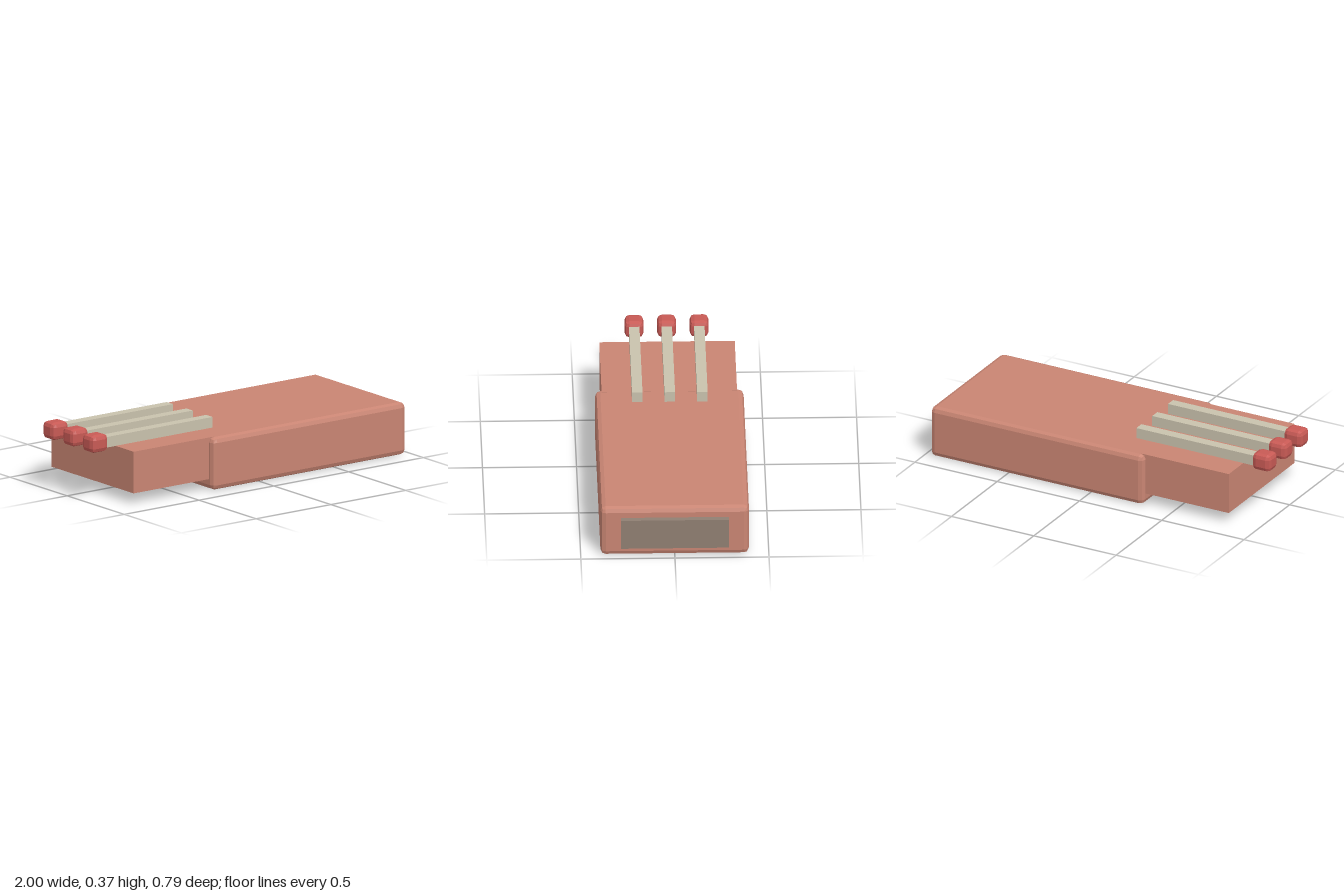
import * as THREE from 'three';
import { RoundedBoxGeometry } from 'three/addons/geometries/RoundedBoxGeometry.js';

const material = (name, color) => {
  const m = new THREE.MeshStandardMaterial({ color });
  m.name = name;
  return m;
};

// Box between x, y and z limits; a bevel gives a two-step faceted edge
function block(name, mat, [x0, x1], [y0, y1], [z0, z1], bevel = 0) {
  const size = [x1 - x0, y1 - y0, z1 - z0];
  const geometry = bevel
    ? new RoundedBoxGeometry(...size, 1, bevel)
    : new THREE.BoxGeometry(...size);
  if (bevel) geometry.computeVertexNormals(); // flat facets
  const mesh = new THREE.Mesh(geometry, mat);
  mesh.name = name;
  mesh.position.set((x0 + x1) / 2, (y0 + y1) / 2, (z0 + z1) / 2);
  return mesh;
}

export function createModel() {
  const card = material('terracotta card', 0xc98573);
  const striker = material('brown striker', 0x8f7f72);
  const wood = material('pale wood', 0xc9c2ad);
  const tip = material('red tip', 0xc85a55);

  const model = new THREE.Group();
  model.name = 'matchbox';

  // Outer sleeve, the tray sliding out of it and the striking plate
  model.add(
    block('sleeve', card, [-0.325, 0.968], [0, 0.288], [-0.395, 0.395], 0.028),
    block('tray', card, [-0.83, -0.29], [0.06, 0.2885], [-0.36, 0.36]),
    block('strikerPlate', striker, [0.95, 1], [0.06, 0.23], [-0.287, 0.287]),
  );

  // Three matches lying on top
  for (const z of [-0.173, 0, 0.173]) {
    const match = new THREE.Group();
    match.name = 'match';
    match.add(
      block('matchStick', wood, [-0.92, -0.18], [0.288, 0.346], [-0.028, 0.028]),
      block('matchHead', tip, [-1, -0.89], [0.272, 0.368], [-0.05, 0.05], 0.025),
    );
    match.position.z = z;
    model.add(match);
  }
  return model;
}
